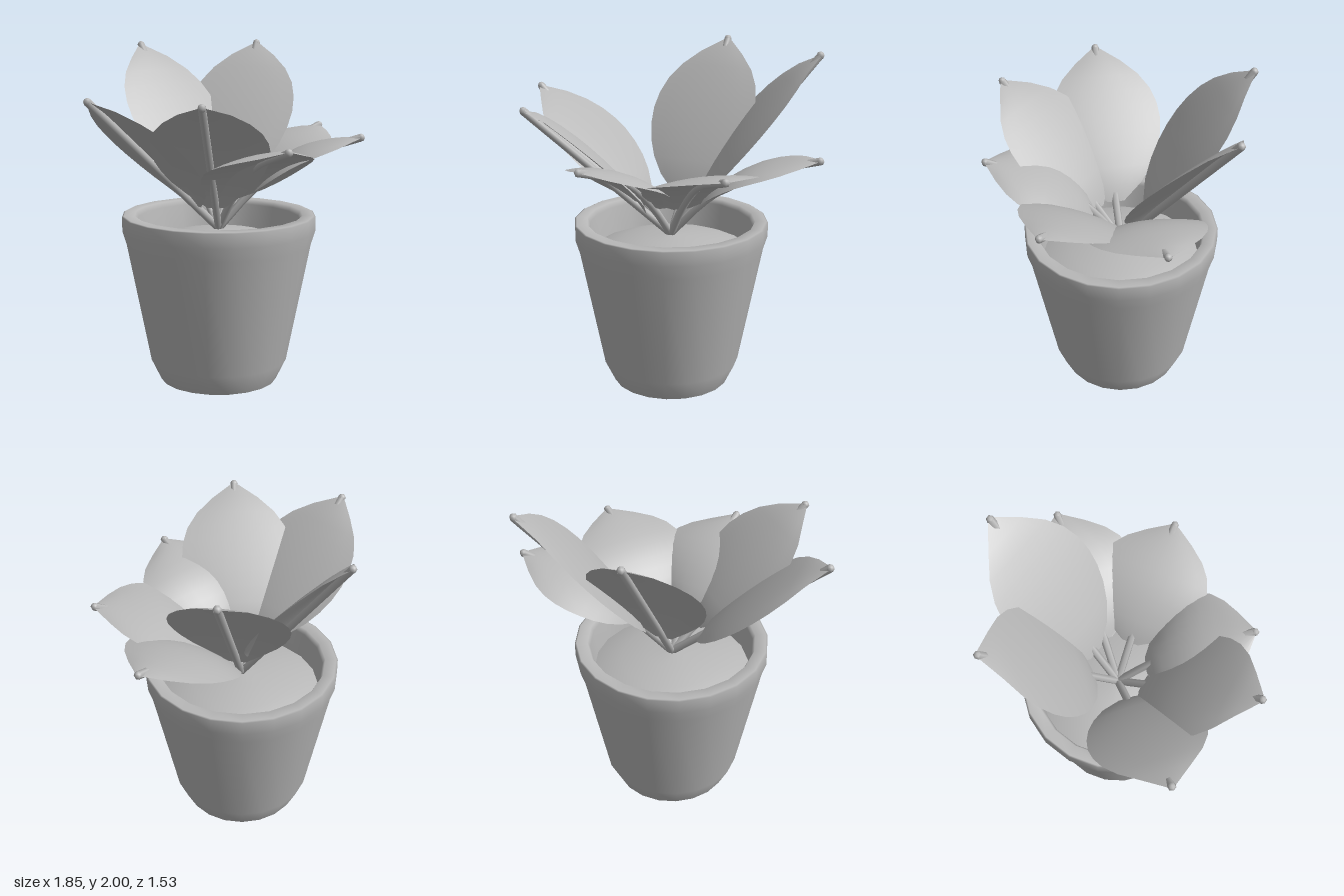
import * as THREE from 'three';

const V = (x, y, z) => new THREE.Vector3(x, y, z);
const grey = new THREE.MeshStandardMaterial({ color: 0xb8b8b8 });
grey.name = 'plain grey';
grey.side = THREE.DoubleSide;

function addMesh(parent, geometry, name) {
  const mesh = new THREE.Mesh(geometry, grey);
  mesh.name = name;
  parent.add(mesh);
}

function lathe(points, segments) {
  return new THREE.LatheGeometry(points.map(([r, y]) => new THREE.Vector2(r, y)), segments);
}

// Half width of the blade along its length: rounded base, full middle, pointed tip
const outline = [0.05, 0.165, 0.24, 0.29, 0.32, 0.333, 0.325, 0.295, 0.235, 0.14, 0.025];

// Blade: a plane swept along the stem curve; middle and edges are lifted off the stem
function bladeGeometry(curve, start, middle, edge) {
  const rows = outline.length - 1;
  const geo = new THREE.PlaneGeometry(2, 1, 8, rows);
  const pos = geo.attributes.position;
  for (let i = 0; i < pos.count; i++) {
    const across = pos.getX(i);
    const u = pos.getY(i) + 0.5;
    const t = start + (0.995 - start) * u;
    const tangent = curve.getTangentAt(t);
    const side = tangent.clone().cross(V(0, 1, 0)).normalize();
    const normal = side.clone().cross(tangent);
    const lift = (middle + (edge - middle) * across * across) * Math.sqrt(Math.sin(Math.PI * u) + 1e-6);
    const p = curve.getPointAt(t)
      .addScaledVector(side, across * outline[Math.round(u * rows)])
      .addScaledVector(normal, lift);
    pos.setXYZ(i, p.x, p.y, p.z);
  }
  geo.computeVertexNormals();
  return geo;
}

// Stem with a blade, running from the soil to the tip; low leaves bend outwards
function makeLeaf(tip, bent, middle, edge) {
  const leaf = new THREE.Group();
  leaf.name = 'leaf';
  const root = V(0, 0.92, 0);
  const at = (f, h) => V(tip.x * f, root.y + (tip.y - root.y) * h, tip.z * f);
  const curve = bent
    ? new THREE.CatmullRomCurve3([root, at(0.25, 0.43), at(0.55, 0.77), tip])
    : new THREE.CatmullRomCurve3([root, at(0.5, 0.5), tip]);
  const start = bent ? 0.27 : 0.19;
  addMesh(leaf, new THREE.TubeGeometry(curve, bent ? 10 : 4, 0.023, 6), 'stem');
  addMesh(leaf, bladeGeometry(curve, start, middle, edge), 'bladeTop');
  addMesh(leaf, bladeGeometry(curve, start, middle - 0.04, edge), 'bladeUnderside');
  // Blunt stem end
  const cap = new THREE.SphereGeometry(0.024, 6, 4);
  cap.translate(tip.x, tip.y, tip.z);
  addMesh(leaf, cap, 'stemEnd');
  return leaf;
}

export function createModel() {
  const model = new THREE.Group();
  model.name = 'pottedPlant';

  // Tapered pot with a thick rim and hollow top
  addMesh(model, lathe([
    [0.35, 0], [0.41, 0.125], [0.55, 0.84], [0.575, 0.92], [0.575, 1.005],
    [0.565, 1.01], [0.5, 1.01], [0.485, 0.98], [0.455, 0.76],
  ], 20), 'pot');
  addMesh(model, lathe([[0, 0], [0.35, 0]], 20), 'potBase');

  // Mounded soil
  addMesh(model, lathe([
    [0.47, 0.82], [0.4, 0.85], [0.3, 0.88], [0.15, 0.91], [0, 0.92],
  ], 20), 'soil');

  // Leaves, from the tall back pair round to the left
  [
    [V(0.075, 1.975, -0.75), false, 0.07, 0.055],
    [V(0.765, 1.975, -0.4), false, 0.07, 0.055],
    [V(0.9, 1.465, 0.02), true, 0.045, 0],
    [V(0.56, 1.465, 0.615), true, 0.045, 0.01],
    [V(-0.23, 1.465, 0.74), true, 0.045, -0.015],
    [V(-0.67, 1.72, 0.53), false, 0.08, 0.06],
    [V(-0.9, 1.725, -0.105), false, 0.07, 0.045],
  ].forEach((spec) => model.add(makeLeaf(...spec)));

  return model;
}
